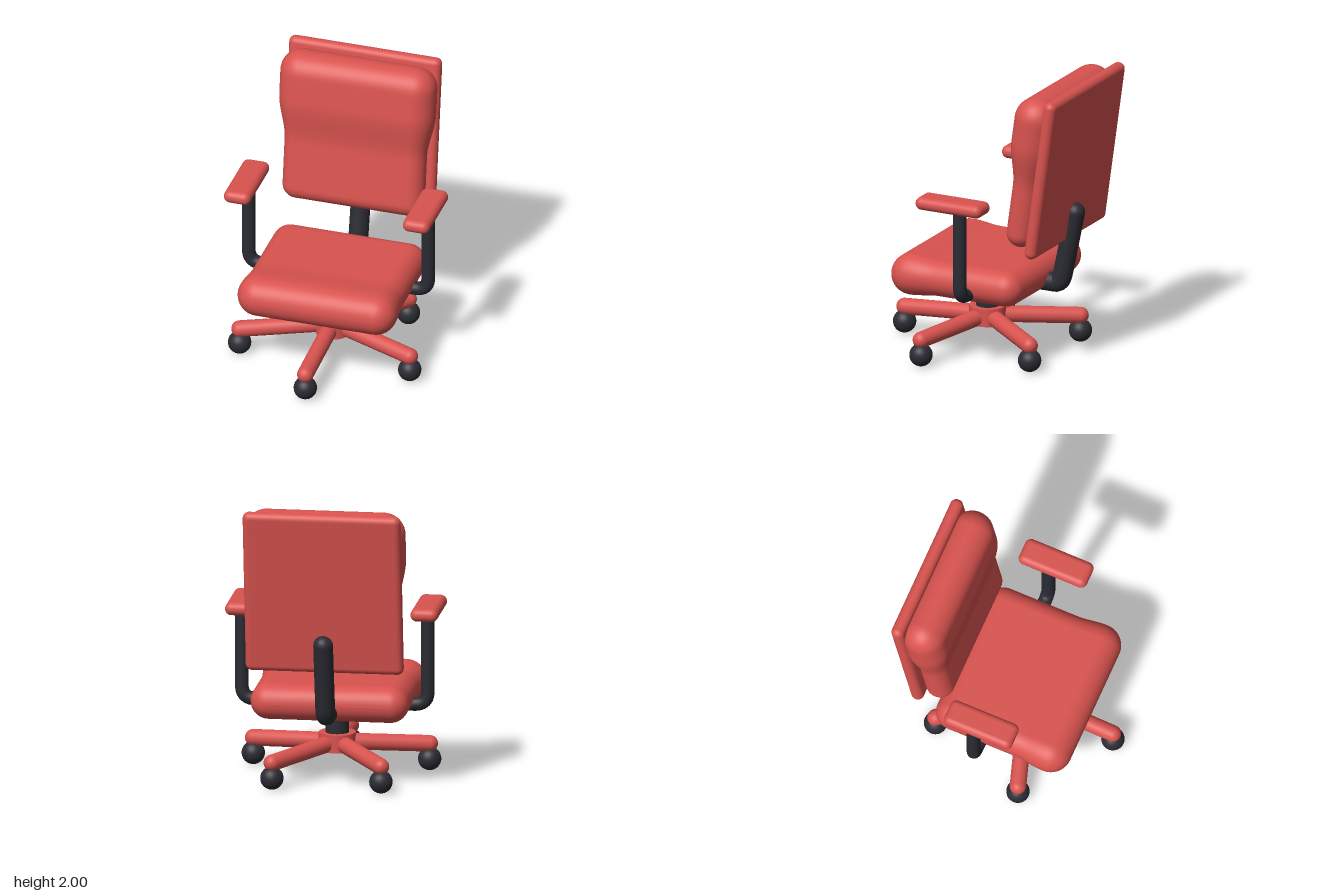
import * as THREE from 'three';
import { RoundedBoxGeometry } from 'three/addons/geometries/RoundedBoxGeometry.js';

const red = new THREE.MeshStandardMaterial({ name: 'red upholstery', color: 0xd9534f });
const dark = new THREE.MeshStandardMaterial({ name: 'dark plastic', color: 0x2b2c34 });

const V = (x, y, z) => new THREE.Vector3(x, y, z);

function add(parent, name, geometry, material, x = 0, y = 0, z = 0) {
  const mesh = new THREE.Mesh(geometry, material);
  mesh.name = name;
  mesh.position.set(x, y, z);
  parent.add(mesh);
  return mesh;
}

// Fully rounded cushion along y: stadium sections of core half width a,
// with a radius that swells from r0 to r1 between s0 and s1.
function cushion(a, length, r0, r1, s0, s1) {
  const stations = [];
  const CAP = 12, MID = 28, ARC = 20;
  for (let i = 0; i <= CAP; i++) {
    const t = (i / CAP) * Math.PI / 2;
    stations.push([-r0 * Math.cos(t), r0 * Math.sin(t)]);
  }
  for (let i = 1; i < MID; i++) {
    const s = (i / MID) * length;
    stations.push([s, r0 + (r1 - r0) * THREE.MathUtils.smoothstep(s, s0, s1)]);
  }
  for (let i = 0; i <= CAP; i++) {
    const t = (i / CAP) * Math.PI / 2;
    stations.push([length + r1 * Math.sin(t), r1 * Math.cos(t)]);
  }
  const positions = [], index = [], ring = 2 * (ARC + 1);
  for (const [s, r] of stations) {
    for (let k = 0; k < ring; k++) {
      const right = k <= ARC;
      const t = -Math.PI / 2 + ((right ? k : k - 1) / ARC) * Math.PI;
      positions.push((right ? a : -a) + r * Math.cos(t), s, r * Math.sin(t));
    }
  }
  for (let j = 0; j < stations.length - 1; j++) {
    for (let k = 0; k < ring; k++) {
      const p = j * ring + k, q = j * ring + (k + 1) % ring;
      index.push(p, p + ring, q, p + ring, q + ring, q);
    }
  }
  const g = new THREE.BufferGeometry();
  g.setAttribute('position', new THREE.Float32BufferAttribute(positions, 3));
  g.setIndex(index);
  g.computeVertexNormals();
  return g;
}

// Tube through straight runs joined by one rounded bend, with ball ends
function bentTube(parent, name, start, bendIn, corner, bendOut, end, radius) {
  const path = new THREE.CurvePath();
  path.add(new THREE.LineCurve3(start, bendIn));
  path.add(new THREE.QuadraticBezierCurve3(bendIn, corner, bendOut));
  path.add(new THREE.LineCurve3(bendOut, end));
  const group = new THREE.Group();
  group.name = name;
  add(group, name + 'Tube', new THREE.TubeGeometry(path, 40, radius, 24), dark);
  for (const p of [start, end]) {
    add(group, name + 'End', new THREE.SphereGeometry(radius, 24, 16), dark, p.x, p.y, p.z);
  }
  parent.add(group);
}

export function createModel() {
  const chair = new THREE.Group();
  chair.name = 'officeChair';
  const tilt = THREE.MathUtils.degToRad(-8);

  // Seat, thicker at the front edge
  const seat = add(chair, 'seat', cushion(0.42, 0.72, 0.125, 0.145, 0.5, 0.71), red, 0, 0.585, -0.325);
  seat.rotation.x = Math.PI / 2;

  // Backrest cushion, thicker at the top, and its flat rear panel
  const back = add(chair, 'backCushion', cushion(0.405, 0.843, 0.1, 0.15, 0.34, 0.66), red, 0, 1.0, -0.435);
  back.rotation.x = tilt;
  const panel = add(chair, 'backPanel', new RoundedBoxGeometry(1.09, 1.155, 0.09, 6, 0.044), red, 0, 1.428, -0.635);
  panel.rotation.x = tilt;

  // Bracket holding the back
  bentTube(chair, 'backSupport', V(0, 0.535, -0.4), V(0, 0.535, -0.49), V(0, 0.535, -0.53),
    V(0, 0.61, -0.546), V(0, 1.06, -0.64), 0.068);

  // Armrests
  for (const s of [1, -1]) {
    bentTube(chair, 'armPost', V(s * 0.642, 1.17, -0.085), V(s * 0.642, 0.63, -0.085),
      V(s * 0.642, 0.537, -0.085), V(s * 0.55, 0.537, -0.085), V(s * 0.45, 0.537, -0.085), 0.047);
    add(chair, 'armPad', new RoundedBoxGeometry(0.19, 0.09, 0.505, 6, 0.044), red, s * 0.64, 1.2, -0.028);
  }

  // Column and five-legged base
  const base = new THREE.Group();
  base.name = 'base';
  base.position.z = 0.034;
  chair.add(base);
  add(base, 'column', new THREE.CapsuleGeometry(0.081, 0.14, 12, 32), dark, 0, 0.33, 0);
  add(base, 'hub', new THREE.CylinderGeometry(0.127, 0.127, 0.125, 32), red, 0, 0.233, 0);

  const reach = 0.64, inner = V(0, 0.226, 0.07), outer = V(0, 0.186, reach);
  const along = outer.clone().sub(inner);
  for (let i = 0; i < 5; i++) {
    const spoke = new THREE.Group();
    spoke.name = 'spoke';
    spoke.rotation.y = (i / 5) * Math.PI * 2;
    base.add(spoke);
    const leg = add(spoke, 'leg', new THREE.CapsuleGeometry(0.057, along.length(), 10, 24), red);
    leg.position.addVectors(inner, outer).multiplyScalar(0.5);
    leg.quaternion.setFromUnitVectors(V(0, 1, 0), along.clone().normalize());
    add(spoke, 'caster', new THREE.SphereGeometry(0.08, 28, 20), dark, 0, 0.08, reach);
  }
  return chair;
}
